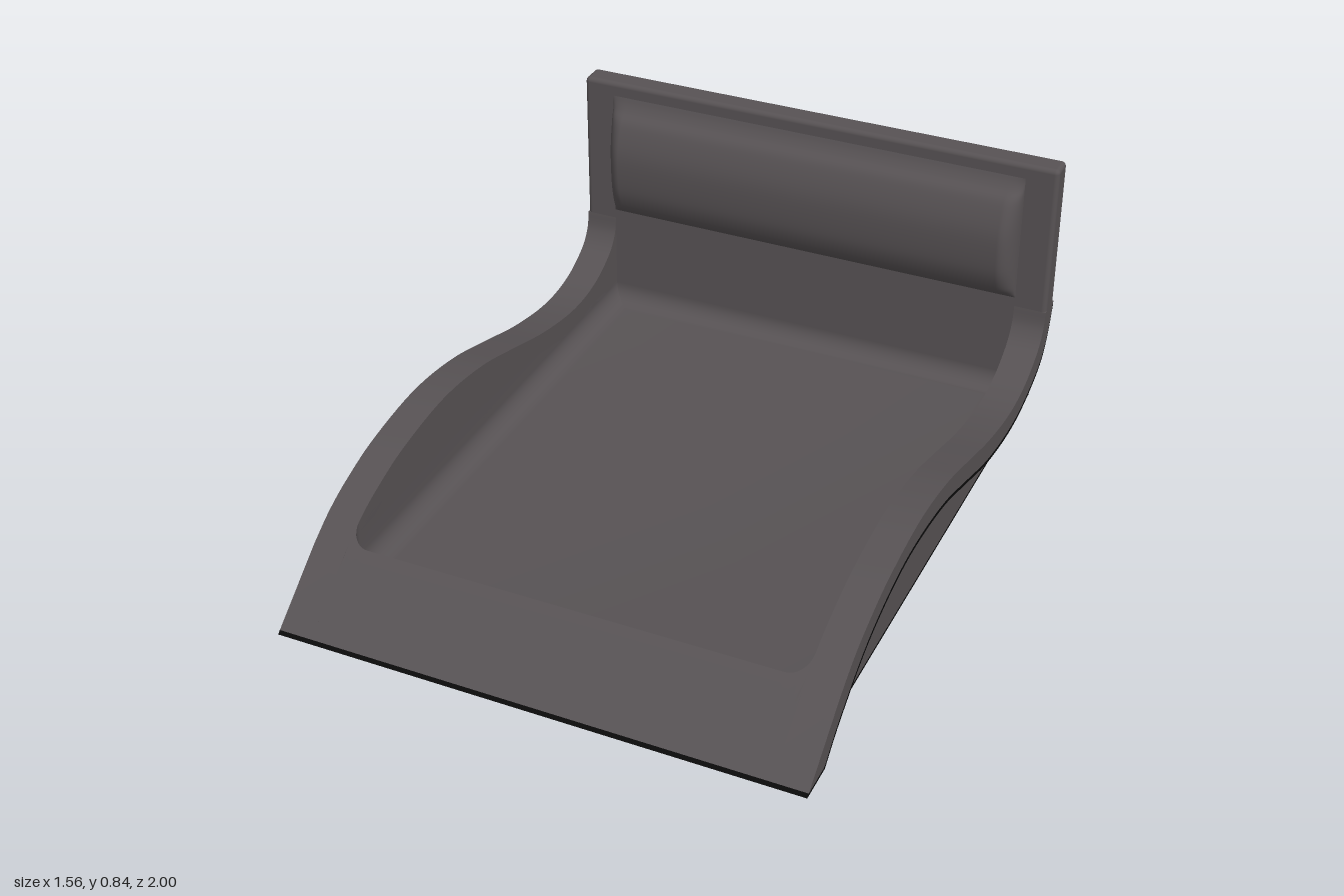
import * as THREE from 'three';
import { toCreasedNormals } from 'three/addons/utils/BufferGeometryUtils.js';
import { RoundedBoxGeometry } from 'three/addons/geometries/RoundedBoxGeometry.js';

const HALF = 0.78, INNER = 0.68, BASE = 0.73;
const FLOOR = 0.055, WALL = -0.92, FRONT = 0.77, R = 0.06;

const V = (z, y) => new THREE.Vector2(z, y);

// smooth curve through [z, y] points
function curve(points, n = 70) {
  return new THREE.SplineCurve(points.map(p => V(...p))).getPoints(n);
}

// side profile in (z, y) extruded across from x0 to x1
function slab(points, x0, x1) {
  const geo = new THREE.ExtrudeGeometry(new THREE.Shape(points), { depth: x1 - x0, bevelEnabled: false });
  geo.rotateY(-Math.PI / 2);
  geo.translate(x1, 0, 0);
  return toCreasedNormals(geo, 0.3);
}

// surface over two lists of parameters
function sheet(us, vs, place) {
  const pos = [], idx = [], w = us.length;
  for (const v of vs) for (const u of us) pos.push(...place(u, v));
  for (let j = 0; j < vs.length - 1; j++) for (let i = 0; i < w - 1; i++) {
    const a = j * w + i, b = a + 1, c = a + w, d = c + 1;
    idx.push(a, c, b, b, c, d);
  }
  const geo = new THREE.BufferGeometry();
  geo.setAttribute('position', new THREE.Float32BufferAttribute(pos, 3));
  geo.setIndex(idx);
  geo.computeVertexNormals();
  return geo;
}

const range = (a, b, n) => Array.from({ length: n + 1 }, (_, i) => a + (b - a) * i / n);

// columns across the width, denser near the rounded ends
function columns(r) {
  const end = range(0, Math.PI / 2, 8).map(t => INNER - r + r * Math.sin(t));
  return [...end.map(x => -x).reverse(), ...end];
}

// plan of the recess inset by d, as [x, z] points with rounded front corners
function recessPlan(d) {
  const arc = range(0, Math.PI / 2, 8).map(t =>
    [INNER - R + (R - d) * Math.cos(t), FRONT - R + (R - d) * Math.sin(t)]);
  const x = INNER - d, z = WALL + d;
  return [[x, z], ...arc, ...arc.map(([ax, az]) => [-ax, az]).reverse(), [-x, z], [x, z]];
}

export function createModel() {
  const group = new THREE.Group();
  const material = (name, color) => {
    const m = new THREE.MeshStandardMaterial({ color, side: THREE.DoubleSide });
    m.name = name;
    return m;
  };
  const grey = material('warm grey', 0x575254), black = material('black', 0x0a0a0a);
  const add = (name, geo, mat = grey) => {
    const mesh = new THREE.Mesh(geo, mat);
    mesh.name = name;
    group.add(mesh);
  };

  // wavy upper and lower edges of the side rails
  const upper = [V(1, 0), ...curve([
    [0.79, 0.165], [0.7, 0.222], [0.6, 0.265], [0.45, 0.308], [0.22, 0.335], [0, 0.315],
    [-0.2, 0.265], [-0.4, 0.211], [-0.6, 0.181], [-0.75, 0.195], [-0.86, 0.245],
    [-0.908, 0.3], [WALL, 0.36]])];
  const lower = curve([
    [0.88, 0], [0.78, 0.083], [0.6, 0.19], [0.4, 0.25], [0.22, 0.265], [0, 0.243],
    [-0.2, 0.188], [-0.4, 0.132], [-0.6, 0.108], [-0.75, 0.12], [-0.9, 0.172],
    [-0.965, 0.245], [-1, 0.345]]);
  const raised = lower.map(p => V(p.x, p.y + 0.011));
  const railHeight = z => {
    const i = Math.max(1, upper.findIndex(p => p.x <= z));
    const a = upper[i - 1], b = upper[i];
    return b.y + (a.y - b.y) * (z - b.x) / (a.x - b.x);
  };

  // overhanging rails with black undersides, above inset lower side panels
  const railProfile = [...upper, V(-1, 0.36), ...raised.slice().reverse(), V(0.89, 0.008), V(0.99, 0.008)];
  railProfile[0] = V(0.99, 0.0079);
  railProfile.pop();
  const lipProfile = [V(1, 0), V(0.99, 0.008), V(0.89, 0.008), ...raised, ...lower.slice().reverse()];
  const panelProfile = [...raised, V(-1, 0.008), V(0.87, 0.008)];
  for (const [side, s] of [['left', 1], ['right', -1]]) {
    const span = (a, b) => s > 0 ? [a, b] : [-b, -a];
    add(side + 'Rail', slab(railProfile, ...span(INNER, HALF)));
    add(side + 'RailUnderside', slab(lipProfile, ...span(BASE, HALF)), black);
    add(side + 'LowerPanel', slab(panelProfile, ...span(INNER, BASE)));
  }

  // black sole and the back panel
  add('sole', slab([V(1, 0), V(0.99, 0.008), V(-1, 0.008), V(-1, 0)], -BASE, BASE), black);
  add('backPanel', slab([V(WALL, 0.008), V(WALL, 0.36), V(-1, 0.36), V(-1, 0.008)], -INNER, INNER));

  // front ramp, cut to the rounded front edge of the recess
  const ramp = sheet(columns(R), range(0, 1, 12), (x, t) => {
    const d = Math.max(0, Math.abs(x) - INNER + R);
    const edge = FRONT - R + Math.sqrt(Math.max(0, R * R - d * d));
    const z = edge + (0.995 - edge) * t;
    return [x, railHeight(z), z];
  });
  add('frontRamp', ramp);

  // sunken recess: wall, fillet and flat floor
  const levels = [
    { d: 0, wall: true },
    ...range(0, Math.PI / 2, 8).map(t => ({ d: R * (1 - Math.cos(t)), y: FLOOR + R * (1 - Math.sin(t)) })),
    { d: R, y: FLOOR, centre: true }];
  const loop = recessPlan(0).map((_, i) => i);
  const recess = sheet(loop, levels, (i, { d, y, wall, centre }) => {
    if (centre) return [0, FLOOR, (FRONT + WALL) / 2];
    const [x, z] = recessPlan(d)[i];
    return [x, wall ? (z > 0.7 ? railHeight(z) : FLOOR + R + 0.005) : y, z];
  });
  add('recess', toCreasedNormals(recess, 0.4));

  // headboard with softened edges
  const headboard = new RoundedBoxGeometry(2 * HALF, 0.515, 0.08, 3, 0.015);
  headboard.translate(0, 0.5875, -0.96);
  add('headboard', headboard);

  // padded bolster on the headboard
  const bulge = curve([[0, 0.8], [0.008, 0.782], [0.022, 0.762], [0.052, 0.73], [0.076, 0.66],
    [0.082, 0.59], [0.073, 0.5], [0.047, 0.435], [0.02, 0.405], [0, 0.39]], 40);
  add('bolster', sheet(columns(0.05), bulge, (x, p) => {
    const d = Math.max(0, Math.abs(x) - INNER + 0.05) / 0.05;
    return [x, p.y, WALL + p.x * Math.sqrt(Math.max(0, 1 - d * d))];
  }));

  return group;
}
